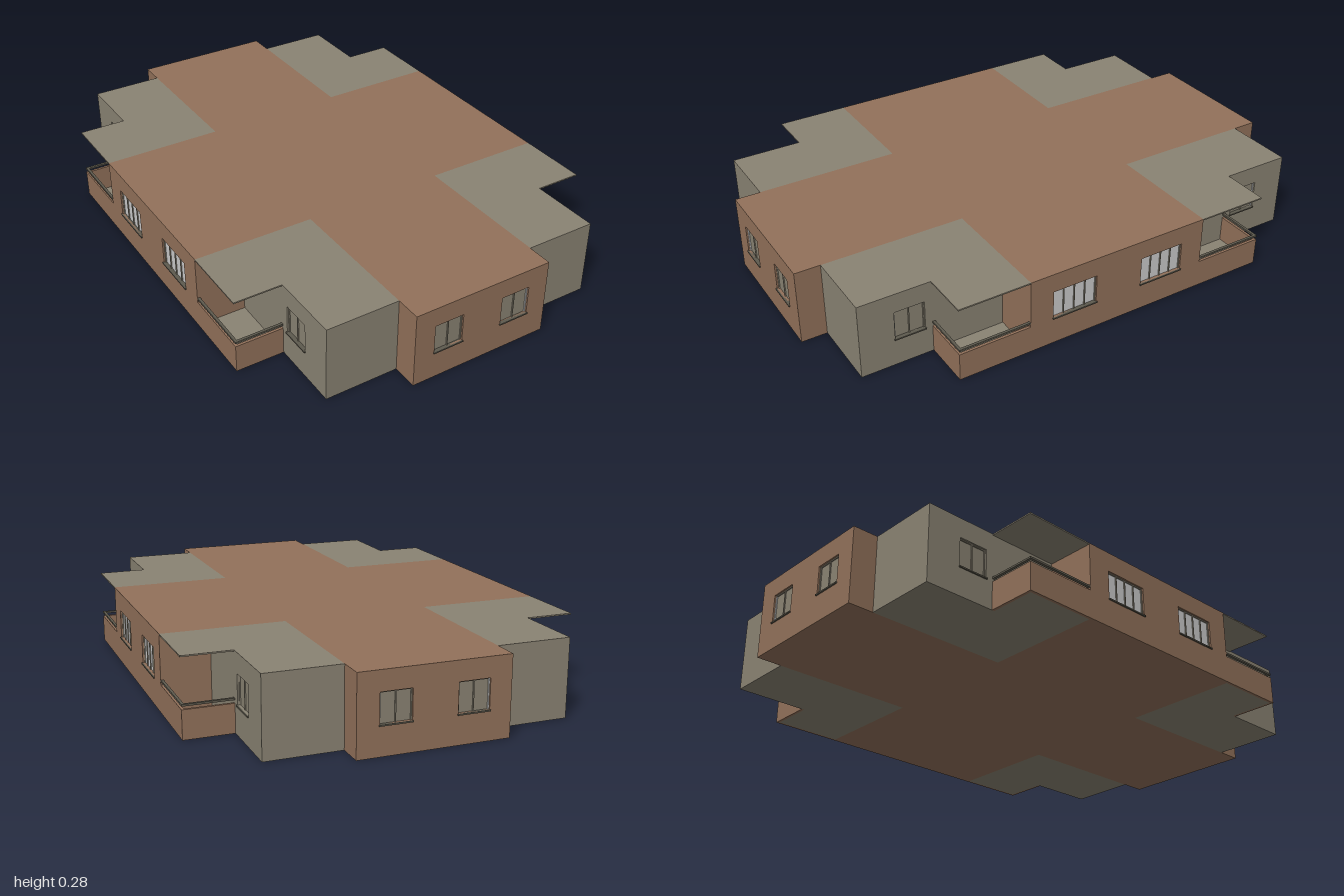
import * as THREE from 'three';

const H = 0.285;      // building height
const D = 0.012;      // depth of the window reveals
const ARM_X = 0.27, ARM_Z = 0.995;    // long arm of the cross
const WING_X = 0.722, WING_Z = 0.36;  // short arm of the cross
const COR_X = 0.543, COR_Z = 0.9;     // corner blocks
const BAL_Z = 0.632;                  // balcony end
const SILL = 0.107, HEAD = 0.213;

export function createModel() {
  const model = new THREE.Group();
  model.name = 'building';
  const mat = (color) => new THREE.MeshStandardMaterial({ color });
  const brown = mat(0x92715a), stone = mat(0x8a8373), dark = mat(0x5e5a4e), pale = mat(0xcccccc);

  // Box given by its minimum and maximum corners
  function box(parent, name, material, x0, x1, y0, y1, z0, z1) {
    const g = new THREE.BoxGeometry(Math.abs(x1 - x0), y1 - y0, Math.abs(z1 - z0));
    const m = new THREE.Mesh(g, material);
    m.position.set((x0 + x1) / 2, (y0 + y1) / 2, (z0 + z1) / 2);
    m.name = name;
    parent.add(m);
    return m;
  }

  // Window set in a wall opening; local +z points outwards, z = 0 is the wall face
  function addWindow(wall, cx, width, panes, glass, edge) {
    const w = new THREE.Group();
    w.name = 'window';
    w.position.x = cx;
    const h = width / 2, t = 0.004;
    box(w, 'pane', glass, -h, h, SILL, HEAD, -D, -D + 0.002);
    for (let i = 0; i <= panes; i++) {
      const x = -h + t / 2 + (i * (width - t)) / panes;
      const outer = edge !== 0 && i === (edge > 0 ? panes : 0);
      box(w, 'mullion', outer ? pale : stone, x - t / 2, x + t / 2, SILL, HEAD, -D, -D + 0.006);
    }
    box(w, 'frameTop', stone, -h, h, HEAD - t, HEAD, -D, -D + 0.006);
    box(w, 'sill', dark, -h - 0.003, h + 0.003, SILL - 0.005, SILL, -D, 0.005);
    wall.add(w);
  }

  // Wall skin with window openings cut through it
  function addWall(name, material, width, windows, x, z, angle) {
    const shape = new THREE.Shape();
    shape.moveTo(-width / 2, 0);
    shape.lineTo(width / 2, 0);
    shape.lineTo(width / 2, H);
    shape.lineTo(-width / 2, H);
    shape.closePath();
    const wall = new THREE.Group();
    wall.name = name;
    for (const win of windows) {
      const hole = new THREE.Path(), a = win.x - win.w / 2, b = win.x + win.w / 2;
      hole.moveTo(a, SILL);
      hole.lineTo(a, HEAD);
      hole.lineTo(b, HEAD);
      hole.lineTo(b, SILL);
      hole.closePath();
      shape.holes.push(hole);
      addWindow(wall, win.x, win.w, win.panes, win.glass, win.edge);
    }
    const g = new THREE.ExtrudeGeometry(shape, { depth: D, bevelEnabled: false });
    g.translate(0, 0, -D);
    const skin = new THREE.Mesh(g, material);
    skin.name = name + 'Skin';
    wall.add(skin);
    wall.position.set(x, 0, z);
    wall.rotation.y = angle;
    model.add(wall);
  }

  // Cross-shaped core
  box(model, 'longArm', brown, -ARM_X, ARM_X, 0, H, -ARM_Z + D, ARM_Z - D);
  for (const s of [-1, 1]) {
    box(model, 'wing', brown, s * ARM_X, s * (WING_X - D), 0, H, -WING_Z, WING_Z);

    // End walls with two small windows, side walls with two wide ones
    const small = [-1, 1].map((e) => ({ x: e * 0.136, w: 0.112, panes: 2, glass: stone, edge: e }));
    addWall('endWall', brown, 2 * ARM_X, small, 0, s * ARM_Z, s > 0 ? 0 : Math.PI);
    const wide = [-1, 1].map((e) => ({ x: e * 0.182, w: 0.175, panes: 4, glass: pale, edge: 0 }));
    addWall('sideWall', brown, 2 * WING_Z, wide, s * WING_X, 0, s * Math.PI / 2);
  }

  // Four corner blocks, each with a side window and a covered balcony
  for (const sx of [-1, 1]) for (const sz of [-1, 1]) {
    box(model, 'cornerBlock', stone, sx * ARM_X, sx * (COR_X - D), 0, H, sz * WING_Z, sz * COR_Z);
    const e = -sx * sz;
    const win = { x: e * 0.085, w: 0.112, panes: 2, glass: stone, edge: e };
    addWall('cornerWall', stone, COR_Z - WING_Z, [win],
      sx * COR_X, sz * (COR_Z + WING_Z) / 2, sx * Math.PI / 2);

    const b = new THREE.Group();
    b.name = 'balcony';
    const X = (v) => sx * v, Z = (v) => sz * v, t = 0.01;
    box(b, 'floor', stone, X(COR_X), X(WING_X - t), 0, 0.006, Z(WING_Z), Z(BAL_Z - t));
    box(b, 'canopy', stone, X(COR_X), X(WING_X), H - 0.005, H, Z(WING_Z), Z(BAL_Z));
    // Parapet with a thin rail floating just above it
    for (const [name, m, y0, y1] of [['parapet', brown, 0, 0.104], ['rail', dark, 0.115, 0.122]]) {
      box(b, name + 'Side', m, X(WING_X - t), X(WING_X), y0, y1, Z(WING_Z), Z(BAL_Z));
      box(b, name + 'End', m, X(COR_X), X(WING_X - t), y0, y1, Z(BAL_Z - t), Z(BAL_Z));
    }
    model.add(b);
  }
  return model;
}
